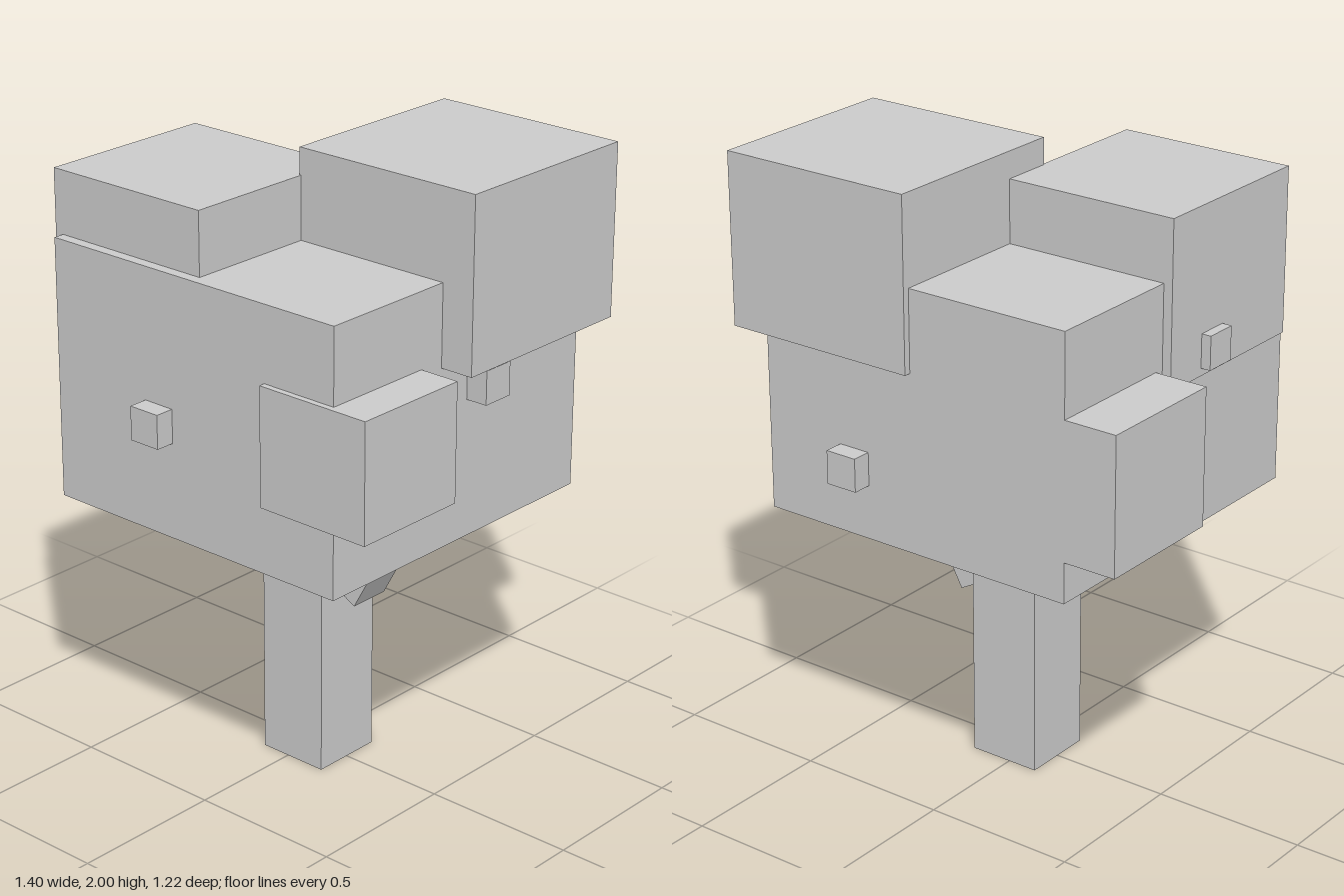
import * as THREE from 'three';

export function createModel() {
  const tree = new THREE.Group();
  tree.name = 'blockTree';
  const grey = new THREE.MeshStandardMaterial({ color: 0xcccccc, side: THREE.DoubleSide });
  grey.name = 'plainGrey';

  // Box standing on its local origin, with an open underside
  function openBox(name, w, h, d) {
    const geo = new THREE.BoxGeometry(w, h, d).translate(0, h / 2, 0);
    const index = Array.from(geo.index.array);
    index.splice(18, 6); // drop the bottom face
    geo.setIndex(index);
    geo.clearGroups();
    const mesh = new THREE.Mesh(geo, grey);
    mesh.name = name;
    tree.add(mesh);
    return mesh;
  }

  // Upright blocks: name, x range, y range, z range
  const blocks = [
    ['trunk', -0.10, 0.14, 0, 1.05, -0.12, 0.12],
    ['mainCanopy', -0.53, 0.568, 0.885, 1.715, -0.55, 0.55],
    ['upperCanopyBack', 0.022, 0.678, 1.455, 2.0, -0.572, 0.086],
    ['upperCanopyFront', -0.56, 0.028, 1.388, 1.915, -0.08, 0.515],
    ['sideCanopyFront', 0.308, 0.70, 1.102, 1.477, 0.175, 0.57],
    ['sideCanopyBack', -0.705, -0.265, 1.015, 1.452, -0.55, -0.112],
    // Small fruit cubes, one on each side
    ['fruitFront', -0.166, -0.058, 1.19, 1.298, 0.505, 0.612],
    ['fruitBack', 0.186, 0.293, 1.058, 1.165, -0.612, -0.505],
    ['fruitRight', 0.533, 0.64, 1.323, 1.43, -0.14, -0.032],
    ['fruitLeft', -0.592, -0.485, 1.412, 1.52, 0.075, 0.182],
  ];
  for (const [name, x0, x1, y0, y1, z0, z1] of blocks) {
    openBox(name, x1 - x0, y1 - y0, z1 - z0).position.set((x0 + x1) / 2, y0, (z0 + z1) / 2);
  }

  // Branches leaning out of the trunk
  const deg = THREE.MathUtils.degToRad;
  const large = openBox('largeBranch', 0.14, 0.41, 0.14);
  large.position.set(0.128, 0.584, -0.045);
  large.rotation.z = deg(-28.7);

  const small = openBox('smallBranch', 0.124, 0.35, 0.124);
  small.position.set(-0.065, 0.69, 0.068);
  small.rotation.set(deg(-30), 0, deg(9));

  return tree;
}
